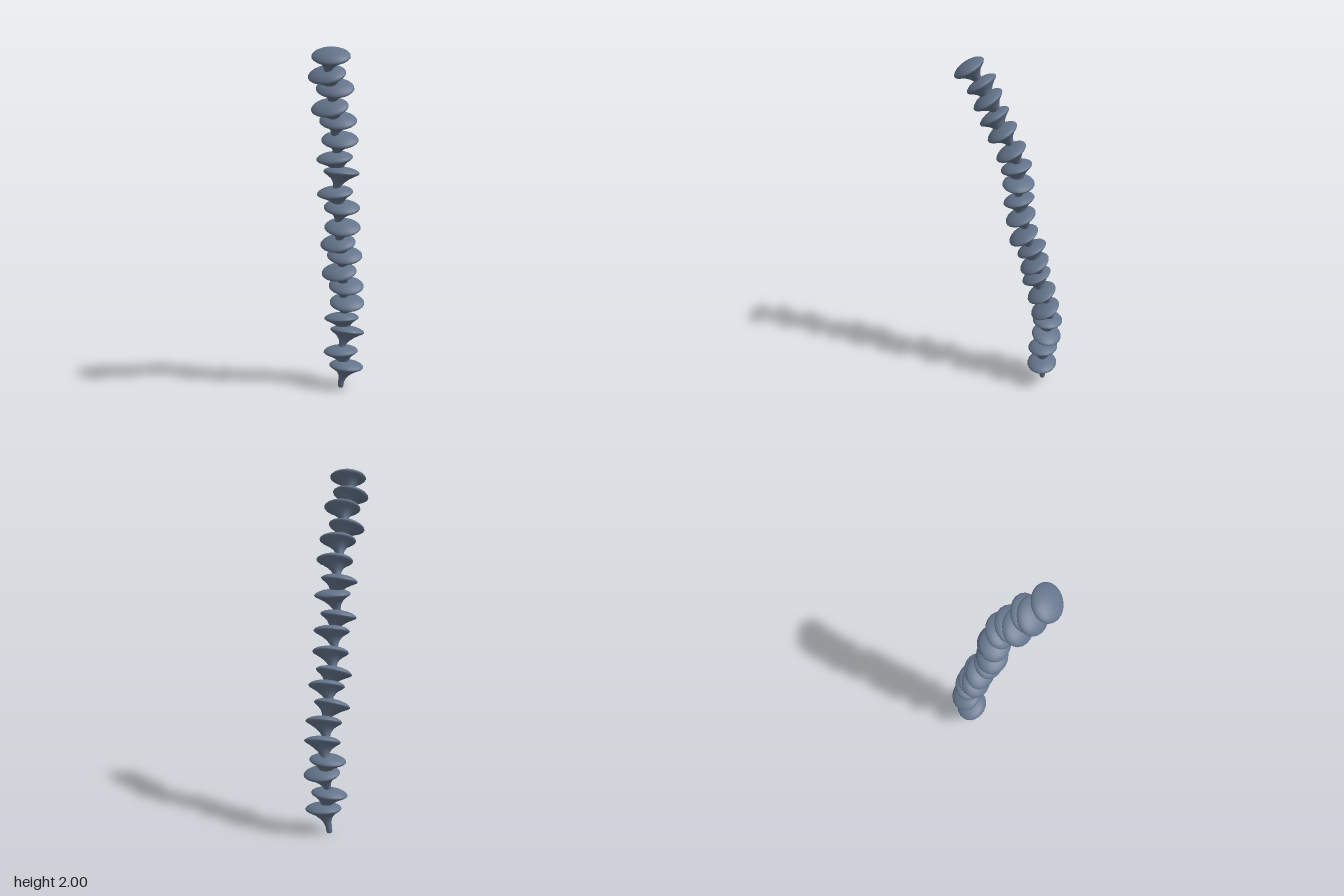
import * as THREE from 'three';
import { mergeVertices } from 'three/addons/utils/BufferGeometryUtils.js';

const slate = new THREE.MeshStandardMaterial({ color: 0x64748b });
slate.name = 'slate';

// One segment: thin stem flaring into a domed oval disc, leaning to +x.
// The rim lies at local y = 0.
function segmentGeometry() {
  const profile = [
    [0, -0.137], [0.013, -0.135], [0.017, -0.125], [0.018, -0.1], [0.021, -0.078],
    [0.03, -0.056], [0.046, -0.035], [0.064, -0.02], [0.08, -0.009], [0.086, -0.002],
    [0.086, 0.003], [0.08, 0.011], [0.066, 0.02], [0.046, 0.027], [0.023, 0.031], [0, 0.032],
  ].map(([r, y]) => new THREE.Vector2(r, y));
  let geo = new THREE.LatheGeometry(profile, 20);
  geo.deleteAttribute('uv');
  geo.deleteAttribute('normal');
  geo = mergeVertices(geo, 1e-5);
  const p = geo.attributes.position;
  for (let i = 0; i < p.count; i++) {
    const x = p.getX(i), y = p.getY(i);
    const t = THREE.MathUtils.smoothstep(y, -0.12, 0); // 0 on the stem, 1 at the disc
    p.setX(i, x * (1 + 0.19 * t) - 0.017 + 0.0345 * t);
    p.setY(i, y - x * 0.07 * t);
  }
  geo.computeVertexNormals();
  return geo;
}

export function createModel() {
  const model = new THREE.Group();
  model.name = 'segmentedStalk';
  const geo = segmentGeometry();

  // Rim height, rim depth, forward tilt in degrees, side the disc leans to
  const segments = [
    [0.137, -0.183, 0, 1], [0.227, -0.183, 2, -1], [0.347, -0.207, -12, 1], [0.426, -0.207, -3, -1],
    [0.526, -0.196, 22, 1], [0.633, -0.174, 23, 1], [0.723, -0.138, 24, -1], [0.825, -0.13, 23, 1],
    [0.9, -0.108, 24, -1], [1.002, -0.067, 24, 1], [1.118, -0.05, 18, 1], [1.203, -0.034, 13, -1],
    [1.318, -0.037, -2, 1], [1.398, -0.02, 14, -1], [1.502, 0.003, 26, 1], [1.61, 0.05, 28, 1],
    [1.682, 0.097, 31, -1], [1.785, 0.124, 32, 1], [1.856, 0.164, 32, -1], [1.951, 0.22, 29, 1],
  ];
  segments.forEach(([y, z, tilt, side], i) => {
    const segment = new THREE.Mesh(geo, slate);
    segment.name = `segment${i + 1}`;
    segment.position.set(0, y, z);
    // Half turn about the stem swaps the lean before tilting
    segment.rotation.set(THREE.MathUtils.degToRad(tilt), side > 0 ? 0 : Math.PI, 0);
    model.add(segment);
  });
  return model;
}
